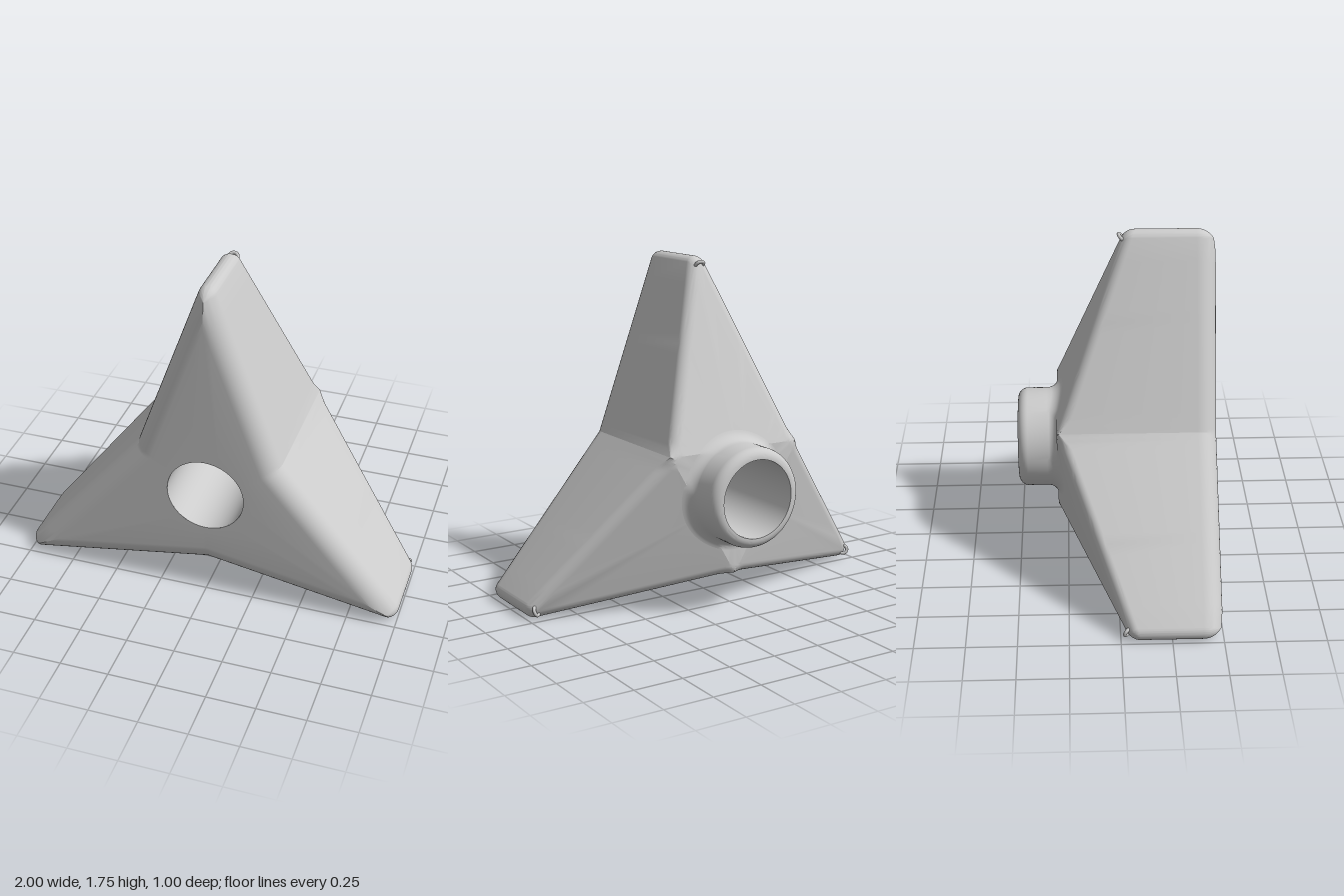
import * as THREE from 'three';
import { toCreasedNormals } from 'three/addons/utils/BufferGeometryUtils.js';

const CY = 0.598;             // height of the star's centre
const TIP = 1.097, TIP_R = 0.05; // centre distance and radius of each rounded tip
const A = THREE.MathUtils.degToRad(20.08); // half angle of an arm
const WALL = TIP * Math.sin(A) + TIP_R;    // distance from centre to a side wall
const WAIST = 0.2165;         // where the back starts to slope along an arm
const SLOPE = 0.37, BACK = -0.3, FRONT = 0.5, BORE = 0.2;
const EDGE = 24, ARC = 12, SIXTH = Math.PI / 3, CREASE = 0.31;
const STEPS = 9;

const material = new THREE.MeshStandardMaterial({ color: 0xcccccc });

// back surface: flat in the middle, rising forward along each arm
const backZ = along => BACK + SLOPE * Math.max(0, along - WAIST);

// half an arm outline, inset by d, from waist corner to tip: [across, along]
function halfArm(d) {
  const r = Math.max(0, TIP_R - d);
  const apex = TIP - Math.max(0, d - TIP_R) / Math.sin(A);
  const end = Math.atan2(r * Math.cos(A), apex + r * Math.sin(A));
  const pts = [];
  for (let i = 0; i <= EDGE; i++) {
    const t = THREE.MathUtils.lerp(SIXTH, end, i / EDGE);
    const rho = (WALL - d) / Math.sin(t + A);
    pts.push([rho * Math.sin(t), rho * Math.cos(t)]);
  }
  for (let i = 1; i <= ARC; i++) {
    const t = THREE.MathUtils.lerp(A, Math.PI / 2, i / ARC);
    pts.push([r * Math.cos(t), apex + r * Math.sin(t)]);
  }
  return pts;
}

// repeat a half arm, mirrored, around the centre; zAt gives the depth
function ring(half, zAt) {
  const arm = [...half, ...half.slice(0, -1).reverse().map(([u, v]) => [-u, v])];
  arm.pop();
  const out = [];
  for (let k = 0; k < 3; k++) {
    const c = Math.cos(k * 2 * SIXTH), s = Math.sin(k * 2 * SIXTH);
    for (const [u, v] of arm) out.push([u * c - v * s, CY + u * s + v * c, zAt(u, v)]);
  }
  return out;
}

function loft(rings) {
  const n = rings[0].length, pos = [];
  const P = p => new THREE.Vector3(...p);
  const tri = (...t) => {
    const [a, b, c] = t.map(P);
    if (b.sub(a).cross(c.sub(a)).length() > 1e-9) t.forEach(p => pos.push(...p));
  };
  for (let i = 0; i + 1 < rings.length; i++) {
    for (let j = 0; j < n; j++) {
      const k = (j + 1) % n;
      const a = rings[i][j], b = rings[i][k], c = rings[i + 1][k], d = rings[i + 1][j];
      tri(a, d, c);
      tri(a, c, b);
    }
  }
  const g = new THREE.BufferGeometry();
  g.setAttribute('position', new THREE.Float32BufferAttribute(pos, 3));
  return toCreasedNormals(g, CREASE);
}

function starBody() {
  const count = EDGE + ARC;
  const circle = Array.from({ length: count + 1 }, (_, i) => {
    const t = SIXTH * (1 - i / count);
    return [BORE * Math.sin(t), BORE * Math.cos(t)];
  });
  const rings = [ring(circle, () => FRONT)];
  // rounded front edge
  for (let i = 0; i <= STEPS; i++) {
    const t = (i / STEPS) * Math.PI / 2;
    rings.push(ring(halfArm(0.1 * (1 - Math.sin(t))), () => 0.4 + 0.1 * Math.cos(t)));
  }
  // straight walls, then the smaller rounding of the back edge, fading at the waist
  for (let i = 0; i <= STEPS; i++) {
    const t = (i / STEPS) * Math.PI / 2;
    rings.push(ring(halfArm(TIP_R * (1 - Math.cos(t))), (u, v) => {
      const fade = Math.min(1, 0.25 + (SIXTH - Math.atan2(Math.abs(u), v)) * 5);
      return backZ(v) + fade * TIP_R * (1 - Math.sin(t));
    }));
  }
  // flat middle of the back
  const middle = halfArm(TIP_R).map(([u, v]) => {
    const f = Math.min(1, WAIST / v);
    return [u * f, v * f];
  });
  rings.push(ring(middle, () => BACK), ring(circle, () => BACK));
  return loft(rings);
}

// bore, rounded lip, collar and the fillet that follows the back surface
function collar() {
  const pts = [[BORE, FRONT], [BORE, -0.5]];
  for (let i = 0; i <= 8; i++) {
    const t = (i / 8) * Math.PI / 2;
    pts.push([0.205 + 0.05 * Math.sin(t), -0.45 - 0.05 * Math.cos(t)]);
  }
  for (let i = 0; i <= 8; i++) {
    const t = (i / 8) * Math.PI / 2;
    pts.push([0.305 - 0.05 * Math.cos(t), -0.35 + 0.05 * Math.sin(t)]);
  }
  const g = new THREE.LatheGeometry(pts.map(p => new THREE.Vector2(...p)), 96);
  g.rotateX(Math.PI / 2);
  const p = g.attributes.position;
  for (let i = 0; i < p.count; i++) {
    const x = p.getX(i), y = p.getY(i);
    if (Math.hypot(x, y) < 0.2555) continue;
    const along = Math.max(y, x * 0.866 - y / 2, -x * 0.866 - y / 2);
    p.setZ(i, p.getZ(i) + backZ(along) - BACK);
  }
  return toCreasedNormals(g, CREASE).translate(0, CY, 0);
}

export function createModel() {
  const group = new THREE.Group();
  const add = (name, geometry) => {
    const mesh = new THREE.Mesh(geometry, material);
    mesh.name = name;
    group.add(mesh);
    return mesh;
  };
  add('starBody', starBody());
  add('collar', collar());
  // small rings at the back corner of each tip
  const eyelet = new THREE.TorusGeometry(0.022, 0.009, 10, 24);
  eyelet.rotateX(-Math.PI / 4).translate(0, TIP + 0.01, backZ(TIP) + 0.008);
  for (let k = 0; k < 3; k++) {
    const mesh = add('tipEyelet', eyelet);
    mesh.position.y = CY;
    mesh.rotation.z = k * 2 * SIXTH;
  }
  return group;
}
